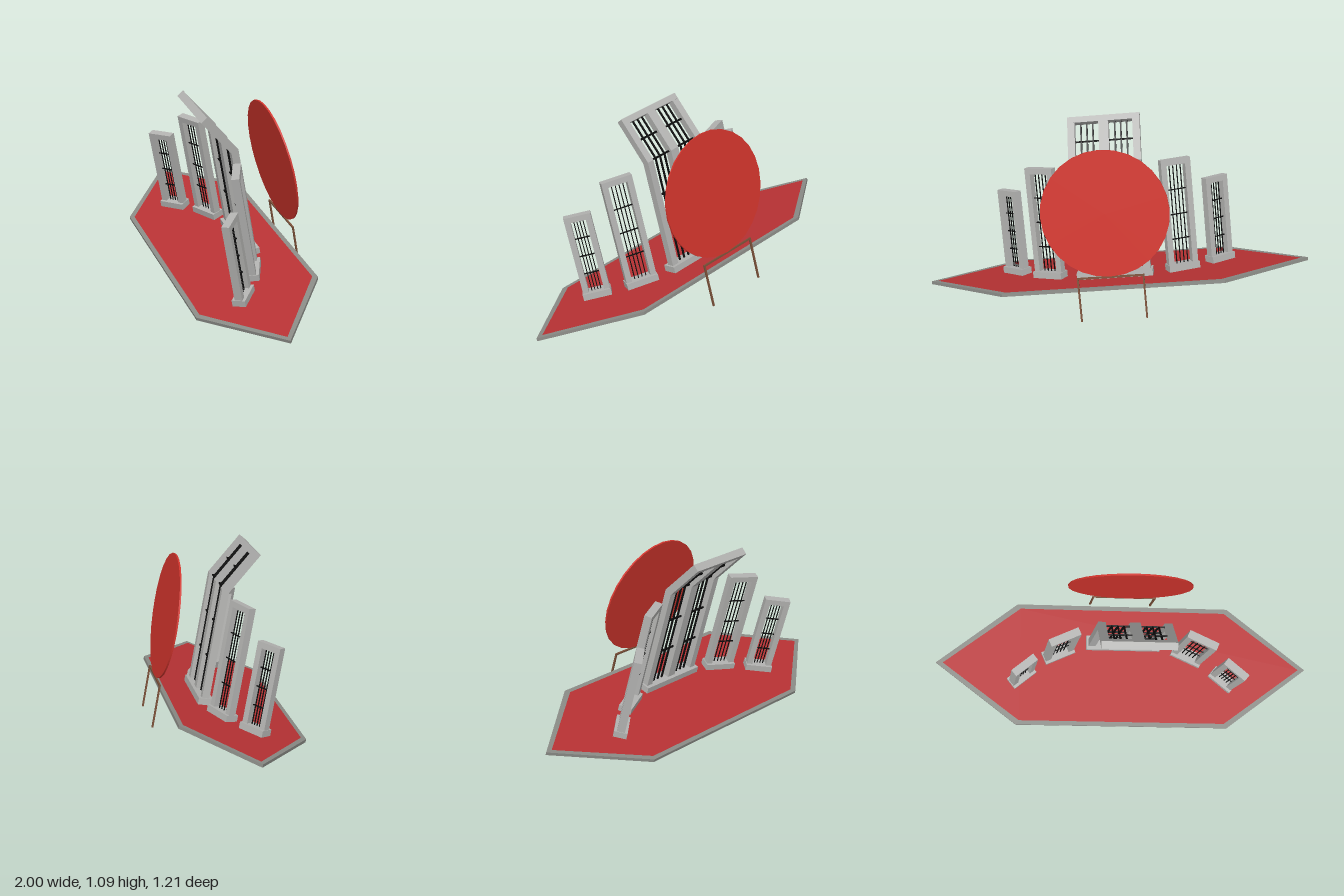
import * as THREE from 'three';

const mat = (name, color) => {
  const m = new THREE.MeshStandardMaterial({ color });
  m.name = name;
  return m;
};

export function createModel() {
  const stone = mat('light stone', 0xb2b2b0);
  const kerbGrey = mat('kerb grey', 0x8a8b86);
  const floorRed = mat('floor red', 0xb83234);
  const discRed = mat('disc red', 0xd0342c);
  const iron = mat('black iron', 0x0c0c0c);
  const wood = mat('brown legs', 0x7a5038);

  const add = (parent, name, geo, material, x = 0, y = 0, z = 0) => {
    const m = new THREE.Mesh(geo, material);
    m.name = name;
    m.position.set(x, y, z);
    parent.add(m);
    return m;
  };
  const box = (parent, name, material, w, h, d, x, y, z) =>
    add(parent, name, new THREE.BoxGeometry(w, h, d), material, x, y, z);
  // Square rod between two points
  const rod = (parent, name, material, a, b, t) => {
    const p = new THREE.Vector3(...a), q = new THREE.Vector3(...b);
    const dir = q.clone().sub(p);
    const m = box(parent, name, material, t, dir.length(), t, 0, 0, 0);
    m.position.copy(p).add(q).multiplyScalar(0.5);
    m.quaternion.setFromUnitVectors(new THREE.Vector3(0, 1, 0), dir.normalize());
    return m;
  };

  // Everything sits on a sloping, turned platform
  const site = new THREE.Group();
  site.name = 'slopingSite';
  site.rotation.set(0.229, -0.474, 0);
  site.position.y = 0.158;

  // Hexagonal platform: red floor inside a grey kerb
  const T = 0.018;
  const hex = (k) => [[1.124, 0], [0.64, 0.365], [-0.64, 0.365], [-1.124, 0], [-0.64, -0.365], [0.64, -0.365]]
    .map(([x, y]) => new THREE.Vector2(x - Math.sign(x) * k * (y ? 0.7 : 1.6), y - Math.sign(y) * k));
  const slab = (shape) => new THREE.ExtrudeGeometry(shape, { depth: T, bevelEnabled: false })
    .rotateX(-Math.PI / 2).translate(0, -T, 0);
  const kerb = new THREE.Shape(hex(0));
  kerb.holes.push(new THREE.Path(hex(0.026)));
  add(site, 'platformKerb', slab(kerb), kerbGrey);
  add(site, 'platformFloor', slab(new THREE.Shape(hex(0.026))), floorRed);

  // Plinth that passes down through the platform
  const plinth = (gate, w, d) => box(gate, 'gatePlinth', stone, w, 0.057, d, 0, 0.0095, 0);

  // Straight gates, mirrored in pairs
  const straightGate = (name, side, u, w, angle, width, height) => {
    const g = new THREE.Group();
    g.name = name;
    g.position.set(side * u, 0, w);
    g.rotation.y = -side * angle;
    plinth(g, width + 0.008, 0.078);
    const post = 0.034, depth = 0.045, x = width / 2 - post, y0 = 0.038, y1 = height - post;
    const frame = new THREE.Shape();
    frame.moveTo(-width / 2, 0.03).lineTo(width / 2, 0.03).lineTo(width / 2, height)
      .lineTo(-width / 2, height).closePath();
    const hole = new THREE.Path();
    hole.moveTo(-x, y0).lineTo(-x, y1).lineTo(x, y1).lineTo(x, y0).closePath();
    frame.holes.push(hole);
    add(g, 'gateFrame', new THREE.ExtrudeGeometry(frame, { depth, bevelEnabled: false })
      .translate(0, 0, -depth / 2), stone);
    for (let i = 1; i <= 4; i++) {
      const bx = -x + (2 * x * i) / 5;
      rod(g, 'uprightBar', iron, [bx, y0, 0], [bx, y1, 0], 0.005);
    }
    for (let i = 1; i <= 3; i++) {
      const by = y0 + ((y1 - y0) * i) / 4;
      rod(g, 'crossBar', iron, [-x, by, 0], [x, by, 0], 0.006);
    }
    site.add(g);
  };
  for (const side of [-1, 1]) {
    const label = side > 0 ? 'left' : 'right';
    straightGate(label + 'InnerGate', side, 0.392, -0.072, 0.415, 0.182, 0.66);
    straightGate(label + 'OuterGate', side, 0.61, 0.071, 0.675, 0.156, 0.51);
  }

  // Tall middle gate, with its upper part bent forward
  const mid = new THREE.Group();
  mid.name = 'middleGate';
  mid.position.set(0, 0, -0.137);
  plinth(mid, 0.445, 0.085);
  const side = new THREE.Shape([[-0.022, 0.03], [0.022, 0.03], [0.022, 0.675], [0.162, 0.912], [0.124, 0.934], [-0.022, 0.688]]
    .map(([z, y]) => new THREE.Vector2(z, y)));
  for (const [u, w] of [[-0.189, 0.042], [0, 0.058], [0.189, 0.042]]) {
    add(mid, 'bentPost', new THREE.ExtrudeGeometry(side, { depth: w, bevelEnabled: false })
      .rotateY(-Math.PI / 2).translate(w / 2, 0, 0), stone, u);
  }
  const lintel = box(mid, 'lintel', stone, 0.421, 0.036, 0.0445, 0, 0.908, 0.134);
  lintel.rotation.x = 0.533;
  for (const s of [-1, 1]) {
    const a = s * 0.029, b = s * 0.168;
    for (let i = 1; i <= 3; i++) {
      const x = a + ((b - a) * i) / 4;
      rod(mid, 'uprightBar', iron, [x, 0.038, 0], [x, 0.682, 0], 0.009);
      rod(mid, 'slopingBar', iron, [x, 0.682, 0], [x, 0.905, 0.132], 0.009);
    }
    for (const [y, z] of [[0.25, 0], [0.465, 0], [0.682, 0], [0.795, 0.067]]) {
      rod(mid, 'crossBar', iron, [a, y, z], [b, y, z], 0.009);
    }
  }
  site.add(mid);

  // Large red disc on a thin stand behind the platform
  add(site, 'disc', new THREE.CylinderGeometry(0.365, 0.365, 0.01, 28).rotateX(Math.PI / 2),
    discRed, 0, 0.442, -0.411);
  for (const s of [-1, 1]) {
    rod(site, 'discLeg', wood, [s * 0.187, -0.18, -0.411], [s * 0.187, 0.078, -0.411], 0.01);
  }
  rod(site, 'discCrossbar', wood, [-0.192, 0.074, -0.411], [0.192, 0.074, -0.411], 0.01);

  const model = new THREE.Group();
  model.name = 'monument';
  model.add(site);
  return model;
}
